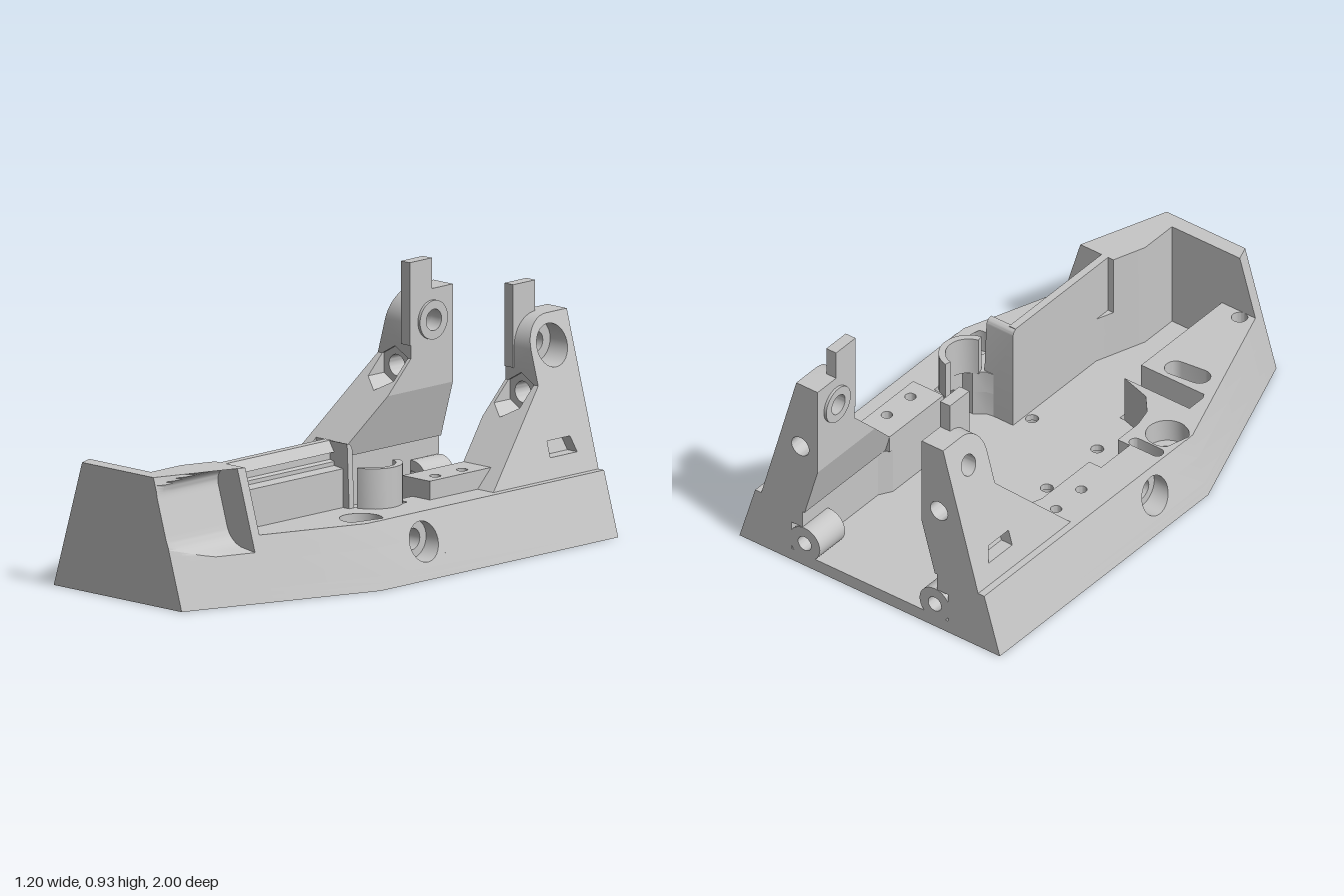
import * as THREE from 'three';
import { toCreasedNormals } from 'three/addons/utils/BufferGeometryUtils.js';

const LEAN = 0.3;
const edge = (z) => Math.min(0.6, 0.325 + (1 - z) * 0.362);     // half width of the footprint
const towerOut = (y) => 0.5 - (y - 0.24) * 0.281;               // leaning outer face of a tower
const towerIn = (y) => 0.24 + Math.max(0, 0.45 - y) * 0.286;

export function createModel() {
  const model = new THREE.Group();
  const grey = new THREE.MeshStandardMaterial({ color: 0xc6c6c6 });
  grey.name = 'plain grey';

  function add(name, geo, side = 1) {
    let g = geo.index ? geo.toNonIndexed() : geo;
    g.deleteAttribute('uv');
    if (side < 0) {                                             // mirror and restore corner order
      const p = g.attributes.position;
      for (let i = 0; i < p.count; i += 3) {
        const v = [0, 2, 1].map((k) => new THREE.Vector3().fromBufferAttribute(p, i + k));
        v.forEach((q, k) => p.setXYZ(i + k, -q.x, q.y, q.z));
      }
    }
    g.deleteAttribute('normal');
    g = toCreasedNormals(g, 0.5);
    const mesh = new THREE.Mesh(g, grey);
    mesh.name = name;
    model.add(mesh);
  }

  // Holes and outlines as point lists
  const round = (x, y, r, n = 32) => Array.from({ length: n }, (_, i) =>
    [x + r * Math.cos(i / n * 2 * Math.PI), y + r * Math.sin(i / n * 2 * Math.PI)]);
  const stadium = (x, y, half, r, turn = 0) => Array.from({ length: 26 }, (_, i) => {
    const a = -Math.PI / 2 + (i % 13) / 12 * Math.PI + (i > 12 ? Math.PI : 0);
    const u = r * Math.cos(a) + (i > 12 ? -half : half), v = r * Math.sin(a);
    return [x + u * Math.cos(turn) - v * Math.sin(turn), y + u * Math.sin(turn) + v * Math.cos(turn)];
  });
  // Extrusion with counter-clockwise outline and clockwise holes
  function extrude(pts, holes, depth, su = 1, sv = 1) {
    const conv = (list, clockwise) => {
      const v = list.map(([a, b]) => new THREE.Vector2(su * a, sv * b));
      return THREE.ShapeUtils.isClockWise(v) === clockwise ? v : v.reverse();
    };
    const s = new THREE.Shape(conv(pts, false));
    s.holes = holes.map((h) => new THREE.Path(conv(h, true)));
    return new THREE.ExtrudeGeometry(s, { depth, bevelEnabled: false });
  }
  function bend(g, rule) {
    const p = g.attributes.position;
    for (let i = 0; i < p.count; i++) p.setXYZ(i, ...rule(p.getX(i), p.getY(i), p.getZ(i)));
    return g;
  }
  // Plan [x, z] raised from y0 to y1; corners on the footprint lean inwards
  const slab = (pts, holes, y0, y1) => bend(
    extrude(pts, holes, y1 - y0, 1, -1).rotateX(-Math.PI / 2).translate(0, y0, 0),
    (x, y, z) => [Math.abs(x) > edge(z) - 0.004 ? x - Math.sign(x) * LEAN * y : x, y, z]);
  // Side profile [z, y] spanning from inner(y) to outer(y)
  const across = (pts, holes, inner, outer) => bend(
    extrude(pts, holes, 1, -1, 1).rotateY(Math.PI / 2),
    (x, y, z) => [x < 0.5 ? inner(y) : outer(y), y, z]);
  // Front profile [x, y] from z0 to z1
  const along = (pts, holes, z0, z1) => extrude(pts, holes, z1 - z0).translate(0, 0, z0);
  // Skin over counter-clockwise loops ordered by z
  function loft(loops) {
    const out = [], n = loops[0].length;
    const tri = (a, b, c) => out.push(...a, ...b, ...c);
    for (let i = 0; i + 1 < loops.length; i++) for (let j = 0; j < n; j++) {
      const k = (j + 1) % n, A = loops[i], B = loops[i + 1];
      tri(A[j], A[k], B[k]);
      tri(A[j], B[k], B[j]);
    }
    const A = loops[0], B = loops[loops.length - 1];
    for (let j = 1; j + 1 < n; j++) { tri(A[0], A[j + 1], A[j]); tri(B[0], B[j], B[j + 1]); }
    return new THREE.BufferGeometry().setAttribute('position', new THREE.Float32BufferAttribute(out, 3));
  }

  // Floor plate: wide recesses and a cable channel below, narrow holes above
  const plan = [[-0.6, -1], [0.6, -1], [0.6, 0.24], [edge(1), 1], [-edge(1), 1], [-0.6, 0.24]];
  const bolts = (r) => [[-0.15, -0.14], [0.15, -0.14], [-0.15, 0.16], [0.15, 0.16]].map(([x, z]) => round(x, z, r));
  const posts = [round(-0.45, 0.19, 0.045), round(0.45, 0.19, 0.045)];
  const channel = [[-0.1, 0.36], [-0.1, 0.46], [-0.4, 0.46], [-0.4, 0.105], [-0.515, 0.105], [-0.515, 0.05],
    [-0.345, 0.05], [-0.345, 0.36]];
  const oval = stadium(-0.44, 0.078, 0.05, 0.024);
  add('floorUnderside', slab(plan, [...bolts(0.042), ...posts, channel], 0, 0.025));
  add('floor', slab(plan, [...bolts(0.024), ...posts, [[-0.1, 0.36], [-0.1, 0.46], [-0.38, 0.46], [-0.38, 0.36]], oval], 0.025, 0.05));

  for (const s of [1, -1]) {
    const side = s > 0 ? 'left' : 'right';
    // Rear side block
    const inner = s > 0 ? [[0.33, -0.12], [0.33, -0.2], [0.28, -0.2], [0.28, -0.5], [0.31, -0.55]]
      : [[0.33, -0.12], [0.33, -0.4], [0.31, -0.46]];
    const rear = (end) => [[0.6, -1], [0.6, -0.12], ...inner, ...end];
    add(side + 'RearBlockLower', slab(rear([[0.31, -0.85], [0.36, -0.85], [0.36, -1]]), [], 0.05, 0.17), s);
    add(side + 'RearBlockUpper', slab(rear([[0.31, -1]]),
      s < 0 ? [round(0.41, -0.42, 0.021), round(0.41, -0.27, 0.021)] : [], 0.17, 0.24), s);
    add(side + 'RearBoss', along(round(0.3, 0.1, 0.07), [round(0.3, 0.1, 0.03)], -1, -0.85), s);

    // Middle block with stepped side hole
    const mid = [[-0.12, 0.05], [0.05, 0.05], [0.05, 0.24], [-0.12, 0.24]];
    add(side + 'MiddleBlockInner', across(mid, [round(-0.025, 0.135, 0.04)], () => 0.385, () => 0.5), s);
    add(side + 'MiddleBlockOuter', across(mid, [round(-0.025, 0.135, 0.073)], () => 0.5, (y) => 0.6 - LEAN * y), s);

    // Tower foot with a slot in its outer face
    const foot = s > 0 ? [[-1, 0.24], [-0.45, 0.24], [-0.66, 0.45], [-1, 0.45]]
      : [[-1, 0.24], [-0.5, 0.24], [-0.5, 0.29], [-0.66, 0.45], [-1, 0.45]];
    const slot = [[-0.77, 0.375], [-0.77, 0.315], [-0.91, 0.315], [-0.89, 0.375]];
    const slotFloor = (y) => towerOut(y) - 0.05;
    add(side + 'TowerFoot', across(foot, [], towerIn, slotFloor), s);
    add(side + 'TowerFootSkin', across(foot, [slot], slotFloor, towerOut), s);
    if (s < 0) add('rightTowerToe', across([[-0.5, 0.24], [-0.45, 0.24], [-0.5, 0.29]], [], () => 0.45, towerOut), s);

    // Tower waist, drilled lengthways, with a shallow hexagonal seat in front
    const waist = [[0.24, 0.45], [towerOut(0.45), 0.45], [towerOut(0.62), 0.62], [0.24, 0.62]];
    const hex = [[0.385, 0.57], [0.385, 0.496], [0.32, 0.458], [0.255, 0.496], [0.255, 0.57], [0.32, 0.607]];
    add(side + 'TowerWaist', along(waist, [round(0.32, 0.533, 0.04)], -1, -0.79), s);
    add(side + 'TowerNutSeat', along(waist, [hex], -0.79, -0.78), s);
    // Ramp with the open part of the nut pocket
    const ramp = [[0.24, 0.45], [towerOut(0.45), 0.45], [towerOut(0.57), 0.57], ...hex.slice(0, 5), [0.24, 0.57]];
    add(side + 'TowerRamp', bend(along(ramp, [], -0.78, 0), (x, y, z) => [x, y, z > -0.5 ? -0.21 - y : z]), s);

    // Tower head: inner plate with upright tab, rounded outer half, ring
    const plate = [[-1, 0.62], [-0.775, 0.62], [-0.775, 0.93], [-0.89, 0.93], [-0.89, 0.815], [-1, 0.815]];
    const head = [[-1, 0.62], [-0.78, 0.62]];
    for (let i = 0; i <= 10; i++) {
      const a = i / 10 * Math.PI / 2;
      head.push([-0.89 + 0.11 * Math.cos(a), 0.7 + 0.115 * Math.sin(a)]);
    }
    head.push([-1, 0.815]);
    const bore = round(-0.89, 0.7, 0.04);
    add(side + 'TowerHeadPlate', across(plate, [bore], () => 0.24, () => 0.285), s);
    add(side + 'TowerHeadOuter', across(head, [s > 0 ? round(-0.89, 0.7, 0.078) : bore], () => 0.285, towerOut), s);
    add(side + 'PivotRing', across(round(-0.89, 0.7, 0.073), [bore], () => 0.229, () => 0.241), s);
  }

  // Front block on the low side, with its pockets in the upper layer
  const lowBlock = [[-0.6, 0.05], [-0.33, 0.05], [-0.33, 0.17], [-0.31, 0.25], [-0.25, 0.32], [-0.12, 0.36], [-0.42, 0.36],
    [-0.42, 0.46], [-0.12, 0.46], [-0.12, 0.95], [-edge(0.95), 0.95], [-0.6, 0.24]];
  add('rightFrontBlockLower', slab(lowBlock, [posts[0], oval], 0.05, 0.15));
  add('rightFrontBlockUpper', slab(lowBlock, [round(-0.45, 0.19, 0.08), oval,
    stadium(-0.28, 0.53, 0.05, 0.042, -0.12), round(-0.225, 0.91, 0.03)], 0.15, 0.24));

  // Front block on the high side
  const highBlock = [[0.6, 0.05], [0.6, 0.24], [edge(0.65), 0.65], [0.155, 0.65], [0.18, 0.58], [0.18, 0.1], [0.3, 0.08], [0.34, 0.05]];
  add('leftFrontBlockLower', slab(highBlock, [posts[1]], 0.05, 0.15));
  add('leftFrontBlockUpper', slab(highBlock, [round(0.45, 0.19, 0.08)], 0.15, 0.24));

  // Front wall
  add('frontWall', loft([0.94, 1].map((z) => {
    const x = -edge(z);
    return [[x, 0, z], [0.12, 0, z], [0.12, 0.48, z], [x + LEAN * 0.48, 0.48, z]];
  })));

  // Tapered corner wall with a rounded scoop cut from the front
  const scoop = (y) => {
    const t = Math.max(0, Math.abs(y - 0.33) - 0.075) / 0.067;
    return t >= 1 ? Infinity : 0.29 - LEAN * (y - 0.33) - 0.067 * Math.sqrt(1 - t * t);
  };
  const stations = [[0.65, 0], [0.68, 0], [0.68, 1], [0.73, 1], [0.78, 1], [0.83, 1], [0.88, 1], [0.92, 1], [0.96, 1], [1, 1]];
  add('cornerWall', loft(stations.map(([z, cut]) => {
    const inX = Math.max(0.11, 0.18 - (z - 0.58) * 0.35), loop = [[inX, 0, z]];
    for (let i = 0; i <= 48; i++) {
      const y = i * 0.01, x = edge(z) - LEAN * y;
      loop.push([cut ? Math.min(x, scoop(y)) : x, y, z]);
    }
    return [...loop, [inX, 0.48, z]];
  })));

  // Grooved side rail and its end plate
  add('sideRail', along([[0.18, 0.2], [0.28, 0.2], [0.28, 0.385], [0.235, 0.39], [0.235, 0.405], [0.215, 0.41],
    [0.215, 0.435], [0.235, 0.44], [0.21, 0.48], [0.18, 0.48]], [], 0.1, 0.66));
  const plateEnd = [[0.11, 0.05], [0.11, 0.48]];
  for (let i = 0; i <= 6; i++) {
    const a = i / 12 * Math.PI;
    plateEnd.push([0.11 - 0.025 * Math.sin(a), 0.455 + 0.025 * Math.cos(a)]);
  }
  plateEnd.push([0.085, 0.05]);
  add('railEndPlate', across(plateEnd, [], () => 0.18, (y) => 0.32 - 0.08 * Math.max(0, y - 0.24)));

  // Raised ledge with two screw holes
  add('ledge', slab([[0.28, -0.52], [0.42, -0.52], [0.42, -0.2], [0.28, -0.2]],
    [round(0.37, -0.42, 0.021), round(0.37, -0.28, 0.021)], 0.24, 0.31));

  // Curved guard beside the pocket
  const arc = (r) => Array.from({ length: 19 }, (_, i) => {
    const a = (i / 18 - 0.5) * 2.7;
    return [0.3 + r * Math.cos(a), -0.025 + r * Math.sin(a)];
  });
  add('curvedGuard', slab([...arc(0.11), ...arc(0.085).reverse()], [], 0.235, 0.39));

  return model;
}
